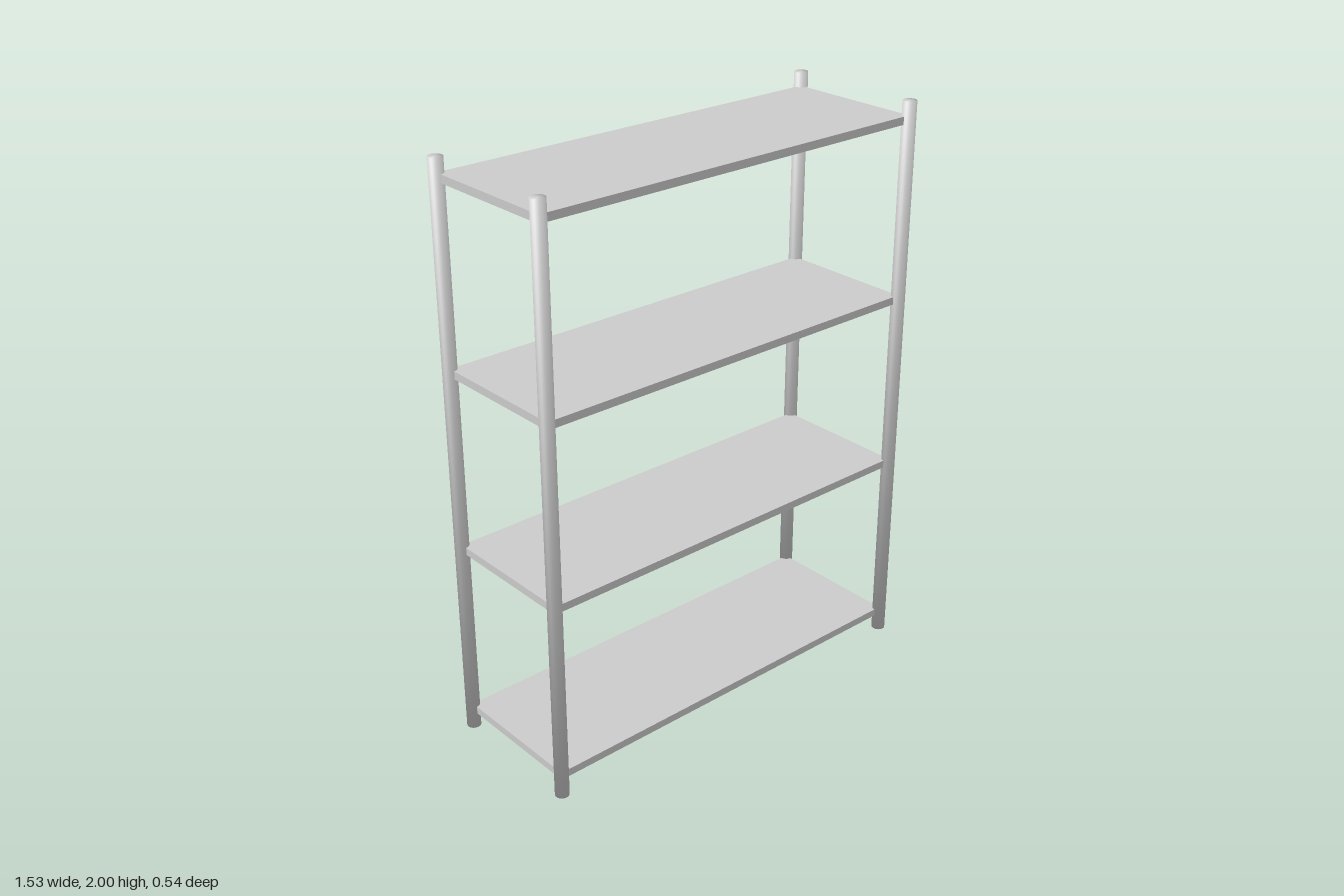
import * as THREE from 'three';

const HEIGHT = 2;
const POST_RADIUS = 0.024;
const POST_X = 0.741;
const POST_Z = 0.247;
const SHELF_THICKNESS = 0.027;

// Capped round post whose normals blend softly from side to cap
function postGeometry() {
  const geometry = new THREE.CylinderGeometry(POST_RADIUS, POST_RADIUS, HEIGHT, 24);
  const { position, normal } = geometry.attributes;
  const n = new THREE.Vector3();
  for (let i = 0; i < position.count; i++) {
    n.set(position.getX(i) / POST_RADIUS, Math.sign(position.getY(i)), position.getZ(i) / POST_RADIUS).normalize();
    normal.setXYZ(i, n.x, n.y, n.z);
  }
  return geometry;
}

export function createModel() {
  const model = new THREE.Group();
  model.name = 'shelfUnit';
  const material = new THREE.MeshStandardMaterial({ color: 0xcccccc });

  function add(name, geometry, x, y, z) {
    const mesh = new THREE.Mesh(geometry, material);
    mesh.name = name;
    mesh.position.set(x, y, z);
    model.add(mesh);
  }

  // Four corner posts
  const post = postGeometry();
  for (const [side, x] of [['Left', POST_X], ['Right', -POST_X]]) {
    for (const [end, z] of [['front', POST_Z], ['back', -POST_Z]]) {
      add(`${end}${side}Post`, post, x, HEIGHT / 2, z);
    }
  }

  // Four evenly spaced shelves, their corners set into the posts
  const shelf = new THREE.BoxGeometry(POST_X * 2, SHELF_THICKNESS, POST_Z * 2);
  for (let i = 0; i < 4; i++) add(`shelf${i + 1}`, shelf, 0, 0.069 + i * 0.6225, 0);

  return model;
}
